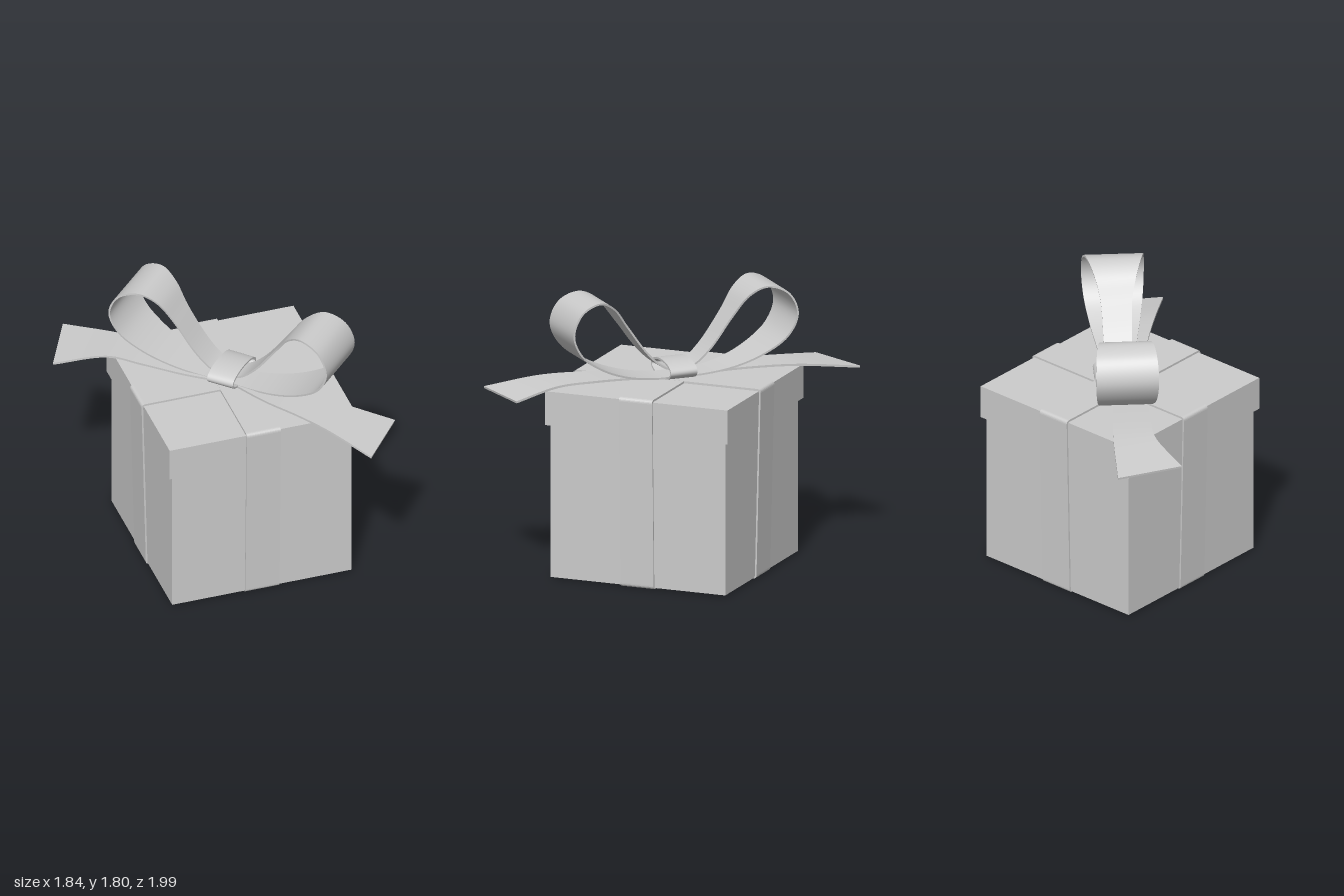
import * as THREE from 'three';

const CX = 0.08, CZ = -0.07; // centre of the box
const material = new THREE.MeshStandardMaterial({ color: 0xcccccc });

function addMesh(parent, name, geometry) {
  const mesh = new THREE.Mesh(geometry, material);
  mesh.name = name;
  parent.add(mesh);
  return mesh;
}

// Thin solid band swept between two matching edge curves
function bandGeometry(edgeA, edgeB, steps, thickness, closed = false) {
  const a = new THREE.CatmullRomCurve3(edgeA, closed);
  const b = new THREE.CatmullRomCurve3(edgeB, closed);
  const mid = (t) => a.getPoint(t).add(b.getPoint(t));
  const sections = [];
  for (let i = 0; i <= steps; i++) {
    const t = i / steps;
    const t0 = closed ? (t - 0.002 + 1) % 1 : Math.max(0, t - 0.002);
    const t1 = closed ? (t + 0.002) % 1 : Math.min(1, t + 0.002);
    const pa = a.getPoint(t), pb = b.getPoint(t);
    const n = mid(t1).sub(mid(t0)).cross(pb.clone().sub(pa)).setLength(thickness / 2);
    sections.push([pa.clone().add(n), pb.clone().add(n), pb.clone().sub(n), pa.clone().sub(n)]);
  }
  const pos = [], index = [];
  // four separate sides keep the edges sharp
  for (let k = 0; k < 4; k++) {
    const base = pos.length / 3;
    sections.forEach((s, i) => {
      pos.push(...s[k].toArray(), ...s[(k + 1) % 4].toArray());
      if (i === steps) return;
      const p = base + i * 2;
      index.push(p, p + 2, p + 1, p + 1, p + 2, p + 3);
    });
  }
  // end caps
  if (!closed) {
    for (const s of [sections[0], sections[steps].slice().reverse()]) {
      const base = pos.length / 3;
      s.forEach((p) => pos.push(...p.toArray()));
      index.push(base, base + 1, base + 2, base, base + 2, base + 3);
    }
  }
  const g = new THREE.BufferGeometry();
  g.setAttribute('position', new THREE.Float32BufferAttribute(pos, 3));
  g.setIndex(index);
  g.computeVertexNormals();
  return g;
}

// Tapered outline with rounded corners
function outline(path, bottom, top, y0, y1, r) {
  path.moveTo(-bottom + r, y0);
  path.lineTo(bottom - r, y0);
  path.quadraticCurveTo(bottom, y0, bottom, y0 + r);
  path.lineTo(top, y1 - r);
  path.quadraticCurveTo(top, y1, top - r, y1);
  path.lineTo(-top + r, y1);
  path.quadraticCurveTo(-top, y1, -top, y1 - r);
  path.lineTo(-bottom, y0 + r);
  path.quadraticCurveTo(-bottom, y0, -bottom + r, y0);
  return path;
}

function strapGeometry(lift) {
  const shape = outline(new THREE.Shape(), 0.607, 0.635, lift, 1.235 + lift, 0.025);
  shape.holes.push(outline(new THREE.Path(), 0.596, 0.624, 0.01, 1.222, 0.015));
  const g = new THREE.ExtrudeGeometry(shape, { depth: 0.226, bevelEnabled: false, curveSegments: 6 });
  return g.translate(0, 0, -0.113);
}

export function createModel() {
  const model = new THREE.Group();
  model.name = 'giftBox';

  // Box, lid and crossing straps
  const parcel = new THREE.Group();
  parcel.name = 'parcel';
  parcel.position.set(CX, 0, CZ);
  model.add(parcel);
  addMesh(parcel, 'box', new THREE.BoxGeometry(1.19, 0.99, 1.19).translate(0, 0.505, 0));
  addMesh(parcel, 'lid', new THREE.BoxGeometry(1.24, 0.22, 1.24).translate(0, 1.11, 0));
  addMesh(parcel, 'strapAcross', strapGeometry(0));
  addMesh(parcel, 'strapFrontToBack', strapGeometry(0.001)).rotation.y = Math.PI / 2;

  // Bow, set along the diagonal
  const bow = new THREE.Group();
  bow.name = 'bow';
  bow.position.set(CX, 0, CZ);
  bow.rotation.y = -Math.PI / 4;
  model.add(bow);

  // Loop sections: distance from knot, height, width
  const loop = [
    [0, 1.29, 0.17], [0.1, 1.315, 0.17], [0.21, 1.41, 0.18], [0.36, 1.61, 0.2],
    [0.46, 1.74, 0.27], [0.57, 1.795, 0.345], [0.7, 1.745, 0.385], [0.76, 1.61, 0.395],
    [0.7, 1.47, 0.375], [0.55, 1.36, 0.32], [0.36, 1.285, 0.25], [0.15, 1.25, 0.19], [0, 1.25, 0.17],
  ];
  const loopEdge = (side) => loop.map(([u, y, w]) => new THREE.Vector3(u, y, side * w / 2));
  const loopGeometry = bandGeometry(loopEdge(-1), loopEdge(1), 72, 0.012);
  addMesh(bow, 'frontLoop', loopGeometry);
  addMesh(bow, 'backLoop', loopGeometry).rotation.y = Math.PI;

  // Knot: flattened ring around the middle
  const knotEdge = (u) => Array.from({ length: 16 }, (_, i) => {
    const angle = (i / 16) * Math.PI * 2;
    return new THREE.Vector3(u, 1.29 - 0.055 * Math.cos(angle), 0.16 * Math.sin(angle));
  });
  addMesh(bow, 'knot', bandGeometry(knotEdge(-0.09), knotEdge(0.09), 48, 0.012, true));

  // Tails: matching edge points in plan, with shared heights
  const heights = [1.24, 1.25, 1.255, 1.245, 1.19];
  const tails = {
    frontTail: [
      [[0.03, -0.03], [0.18, 0.27], [0.33, 0.5], [0.46, 0.7], [0.65, 0.987]],
      [[0.14, -0.1], [0.32, 0.12], [0.5, 0.3], [0.66, 0.475], [0.918, 0.654]],
    ],
    backTail: [
      [[0.12, -0.13], [-0.07, -0.3], [-0.24, -0.5], [-0.42, -0.7], [-0.723, -1]],
      [[0.03, -0.01], [-0.2, -0.16], [-0.42, -0.345], [-0.6, -0.51], [-0.918, -0.617]],
    ],
  };
  for (const [name, edges] of Object.entries(tails)) {
    const [a, b] = edges.map((e) => e.map(([x, z], i) => new THREE.Vector3(x, heights[i], z)));
    addMesh(model, name, bandGeometry(a, b, 32, 0.014));
  }
  return model;
}
